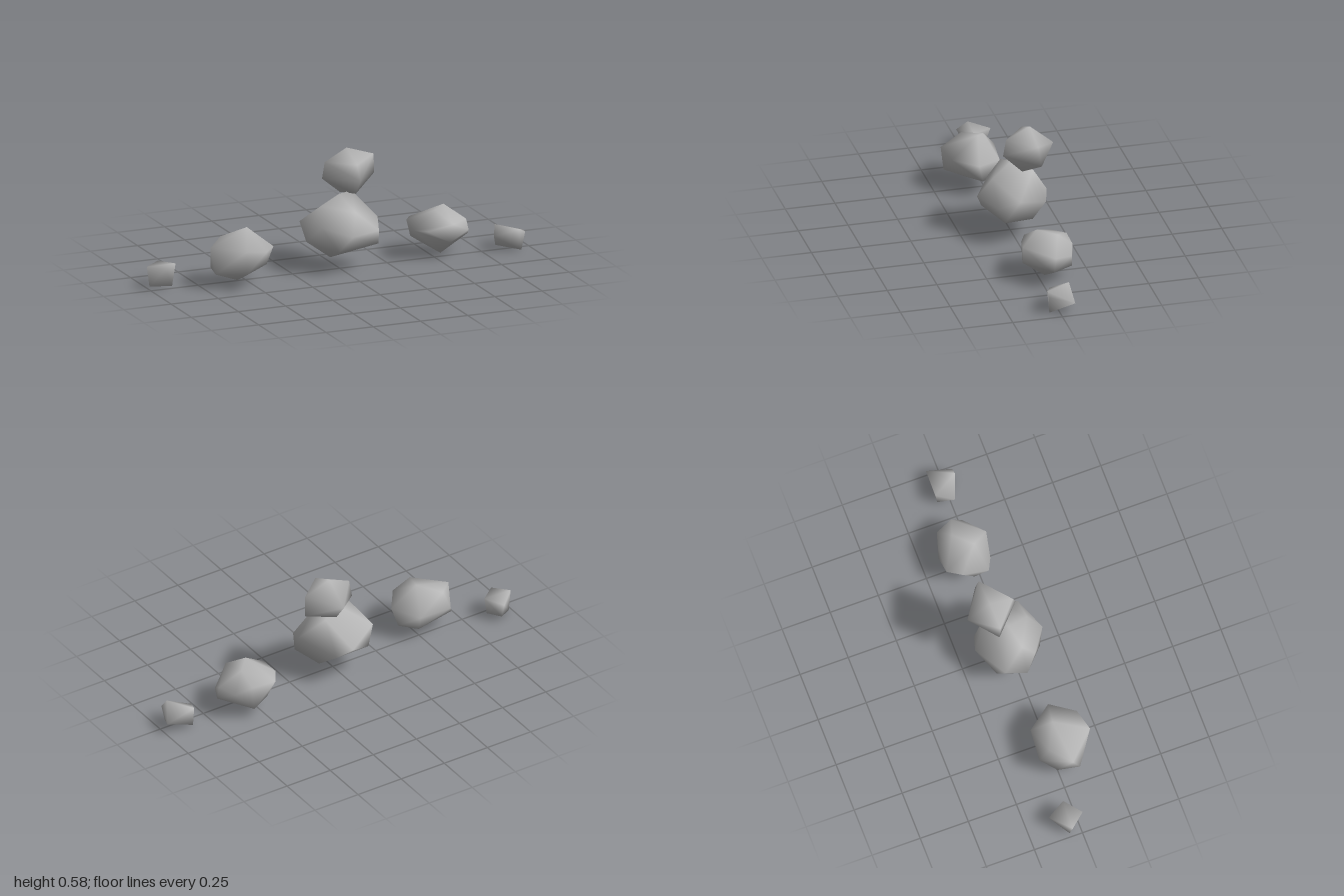
import * as THREE from 'three';
import { ConvexGeometry } from 'three/addons/geometries/ConvexGeometry.js';
import { mergeVertices } from 'three/addons/utils/BufferGeometryUtils.js';

// Corner points of each stone
const stones = {
  leftBoulder: [
    [-0.71, 0.2, 0.06], [-0.505, 0.275, 0.03], [-0.375, 0.17, 0.055], [-0.4, 0.075, 0.03],
    [-0.57, 0.023, 0.065], [-0.7, 0.075, 0.1], [-0.63, 0.16, -0.085], [-0.465, 0.15, -0.07],
    [-0.46, 0.18, 0.172], [-0.575, 0.2, 0.198], [-0.57, 0.08, 0.185], [-0.62, 0.225, -0.03],
    [-0.68, 0.08, -0.01], [-0.48, 0.06, -0.03],
  ],
  middleBoulder: [
    [-0.185, 0.16, 0.02], [-0.175, 0.235, -0.09], [-0.11, 0.333, 0.02], [0, 0.375, -0.01],
    [0.1, 0.36, -0.09], [0.2, 0.24, 0], [0.175, 0.125, 0.07], [-0.055, 0.065, 0.01],
    [0, 0.2, -0.184], [0.08, 0.17, -0.16], [0, 0.2, 0.166], [0.04, 0.305, 0.1],
    [0.165, 0.2, 0.1], [-0.06, 0.12, 0.13], [-0.13, 0.14, -0.12], [0.13, 0.11, -0.08],
    [-0.13, 0.24, 0.08],
  ],
  topBoulder: [
    [-0.06, 0.44, -0.08], [-0.05, 0.525, -0.07], [0.07, 0.583, -0.08], [0.215, 0.535, -0.085],
    [0.225, 0.435, -0.1], [0.1, 0.357, -0.035], [0.04, 0.358, -0.095], [0.065, 0.48, -0.2],
    [0.085, 0.445, 0.058], [0.075, 0.525, 0.04],
  ],
  rightBoulder: [
    [0.38, 0.155, 0.03], [0.395, 0.175, -0.1], [0.505, 0.238, 0], [0.585, 0.238, -0.085],
    [0.69, 0.16, -0.05], [0.695, 0.09, -0.04], [0.545, 0.008, -0.03], [0.39, 0.11, -0.04],
    [0.44, 0.17, -0.168], [0.57, 0.175, -0.163], [0.655, 0.15, -0.138], [0.56, 0.05, -0.165],
    [0.565, 0.18, 0.085], [0.55, 0.09, 0.083], [0.44, 0.15, 0.06], [0.68, 0.12, 0.005],
    [0.46, 0.06, -0.12],
  ],
  leftPebble: [
    [-1, 0.108, -0.05], [-0.905, 0.105, -0.14], [-0.85, 0.11, -0.045], [-0.935, 0.105, 0.025],
    [-0.982, 0.004, -0.06], [-0.877, 0.004, -0.025], [-0.91, 0.02, -0.11],
  ],
  rightPebble: [
    [0.81, 0.07, 0.015], [0.85, 0.108, -0.072], [0.925, 0.108, 0.057], [0.958, 0.09, 0.055],
    [1, 0.065, -0.065], [0.94, 0, 0.05], [0.85, 0.005, -0.062],
  ],
};

// Convex stone with soft shading across its facets
function stoneGeometry(corners) {
  const hull = new ConvexGeometry(corners.map((c) => new THREE.Vector3(...c)));
  hull.deleteAttribute('normal');
  const geometry = mergeVertices(hull, 1e-4);
  geometry.computeVertexNormals();
  return geometry;
}

export function createModel() {
  const group = new THREE.Group();
  group.name = 'stones';
  const material = new THREE.MeshStandardMaterial({ color: 0xb8b8b8 });
  material.name = 'grey stone';
  for (const [name, corners] of Object.entries(stones)) {
    const mesh = new THREE.Mesh(stoneGeometry(corners), material);
    mesh.name = name;
    group.add(mesh);
  }
  return group;
}
